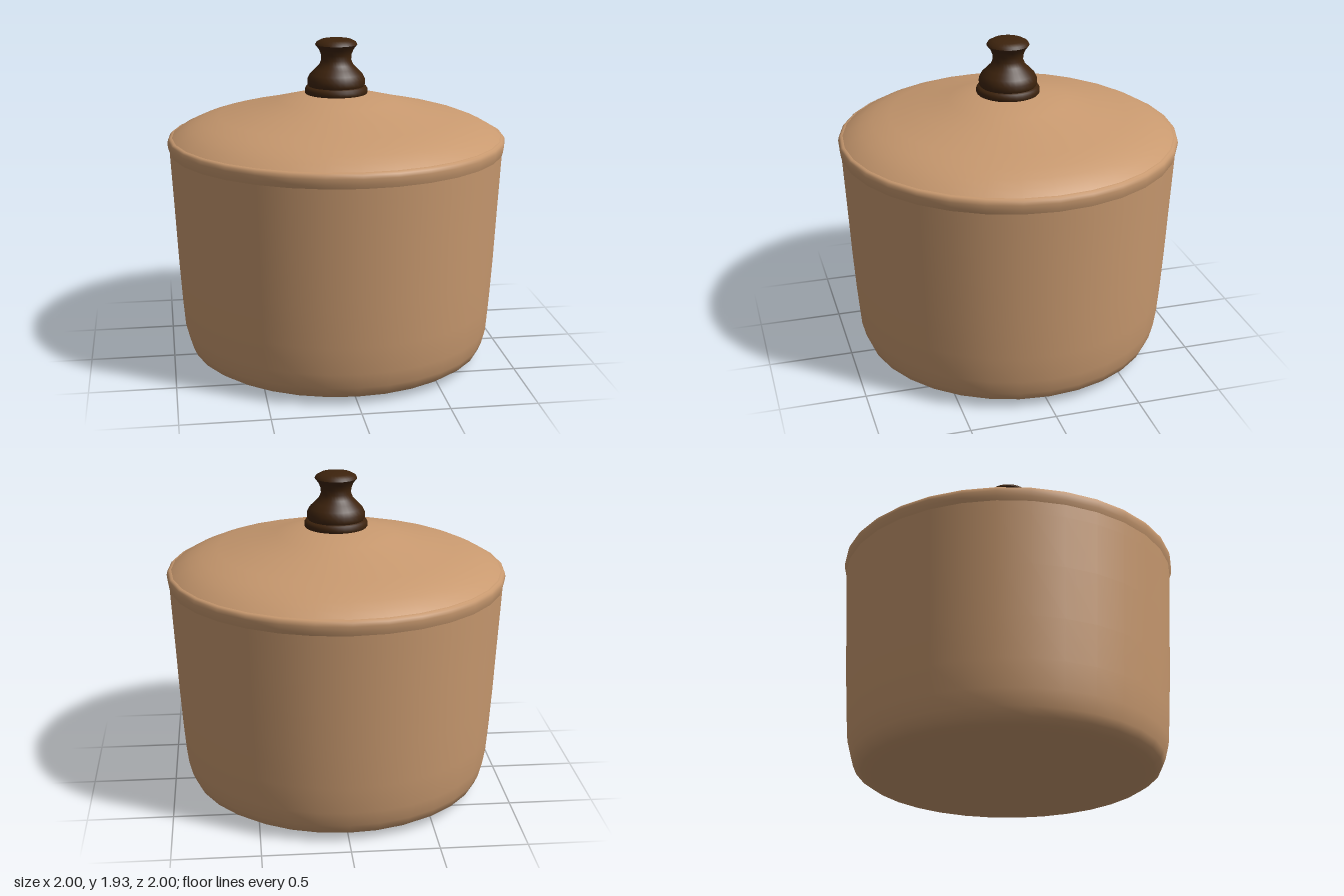
import * as THREE from 'three';

const SIDES = 32;

// Spin a bottom-to-top [radius, height] profile around the y axis
function turned(name, profile, material) {
  const points = profile.map(([r, y]) => new THREE.Vector2(r, y));
  const mesh = new THREE.Mesh(new THREE.LatheGeometry(points, SIDES), material);
  mesh.name = name;
  return mesh;
}

export function createModel() {
  const clay = new THREE.MeshStandardMaterial({ color: 0xc8996f });
  clay.name = 'tan clay';
  const wood = new THREE.MeshStandardMaterial({ color: 0x3d230d });
  wood.name = 'dark wood';

  const model = new THREE.Group();
  model.name = 'coveredPot';

  // Flat base, slightly lower in the middle
  model.add(turned('base', [[0, 0], [0.4, 0.008], [0.78, 0.02]], clay));

  // Tapered wall with a rounded foot
  model.add(turned('wall', [
    [0.78, 0.02], [0.84, 0.033], [0.88, 0.06], [0.902, 0.11], [0.925, 0.2],
    [0.938, 0.36], [0.953, 0.6], [0.968, 0.9], [0.984, 1.2], [0.988, 1.28],
  ], clay));

  // Rounded rim, turning in to meet the lid
  model.add(turned('rim', [
    [0.988, 1.275], [0.996, 1.3], [1, 1.33], [0.996, 1.35], [0.985, 1.36], [0.97, 1.362],
  ], clay));

  // Lid: curved shoulder, then a straight cone up to the knob
  model.add(turned('lid', [
    [0.975, 1.36], [0.93, 1.392], [0.87, 1.422], [0.8, 1.45], [0.7, 1.479],
    [0.52, 1.521], [0.35, 1.564], [0.19, 1.605], [0, 1.61],
  ], clay));

  // Turned knob: collar, bulb with waist, and flat cap
  const knob = new THREE.Group();
  knob.name = 'knob';
  knob.add(
    turned('knobCollar', [
      [0.178, 1.6], [0.186, 1.612], [0.186, 1.63], [0.178, 1.645], [0.16, 1.65],
    ], wood),
    turned('knobBulb', [
      [0.16, 1.645], [0.17, 1.66], [0.17, 1.69], [0.155, 1.72], [0.125, 1.75],
      [0.1, 1.775], [0.088, 1.805], [0.09, 1.835], [0.102, 1.865], [0.124, 1.893],
    ], wood),
    turned('knobCap', [
      [0.124, 1.893], [0.116, 1.908], [0.09, 1.922], [0.05, 1.929], [0, 1.931],
    ], wood),
  );
  model.add(knob);

  return model;
}
